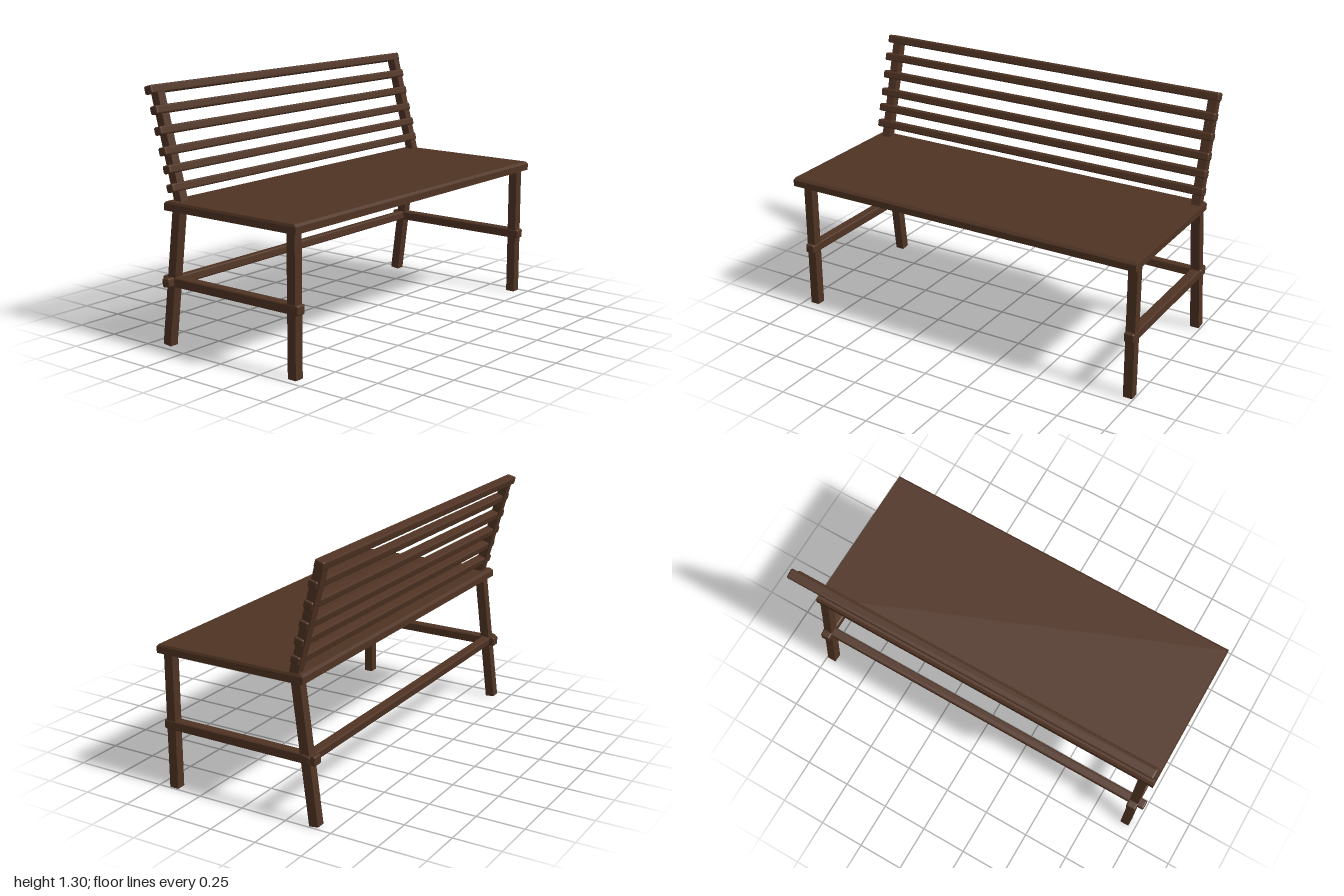
import * as THREE from 'three';
import { RoundedBoxGeometry } from 'three/addons/geometries/RoundedBoxGeometry.js';

export function createModel() {
  const bench = new THREE.Group();
  bench.name = 'bench';
  const wood = new THREE.MeshStandardMaterial({ color: 0x4f3323 });
  wood.name = 'dark brown wood';

  function add(name, geometry, x, y, z, tilt = 0) {
    const mesh = new THREE.Mesh(geometry, wood);
    mesh.name = name;
    mesh.position.set(x, y, z);
    mesh.rotation.x = tilt;
    bench.add(mesh);
    return mesh;
  }

  // Square post running between two points [y, z] at a given x
  function post(name, x, [y0, z0], [y1, z1], size = 0.049) {
    const length = Math.hypot(y1 - y0, z1 - z0);
    const tilt = Math.atan2(z1 - z0, y1 - y0);
    add(name, new THREE.BoxGeometry(size, length, size), x, (y0 + y1) / 2, (z0 + z1) / 2, tilt);
  }

  // Bar with softened edges
  const bar = (w, h, d) => new RoundedBoxGeometry(w, h, d, 2, 0.009);

  // Seat board, with the upper edges chamfered
  const seat = new THREE.BoxGeometry(2, 0.046, 0.832, 1, 2, 1).toNonIndexed();
  const p = seat.attributes.position;
  for (let i = 0; i < p.count; i++) {
    const y = p.getY(i);
    if (y > 0.01) {
      p.setX(i, p.getX(i) - Math.sign(p.getX(i)) * 0.005);
      p.setZ(i, p.getZ(i) - Math.sign(p.getZ(i)) * 0.012);
    } else if (y > -0.01) {
      p.setY(i, 0.011);
    }
  }
  seat.computeVertexNormals();
  add('seat', seat, 0, 0.725, 0.061);

  // Legs, backrest posts and side rails; the two ends sit at uneven insets
  for (const [side, x] of [['right', -0.938], ['left', 0.968]]) {
    post(`${side} front leg`, x, [0, 0.415], [0.71, 0.415]);
    post(`${side} back leg`, x, [0.003, -0.402], [0.71, -0.311]);
    post(`${side} backrest post`, x, [0.715, -0.292], [1.28, -0.445], 0.047);
    add(`${side} side rail`, bar(0.054, 0.05, 0.873), x, 0.336, 0.02);
  }

  // Long rail between the back legs
  add('back rail', bar(2, 0.046, 0.05), 0, 0.336, -0.362, THREE.MathUtils.degToRad(-7.3));

  // Backrest slats [y, z], leaning back with the posts
  const lean = THREE.MathUtils.degToRad(-15);
  const slats = [[0.813, -0.314], [0.902, -0.334], [0.987, -0.36], [1.084, -0.386], [1.182, -0.41]];
  slats.forEach(([y, z], i) => add(`backrest slat ${i + 1}`, bar(2, 0.042, 0.05), 0, y, z, lean));
  add('top rail', bar(2, 0.043, 0.052), 0, 1.277, -0.445, lean);

  return bench;
}
